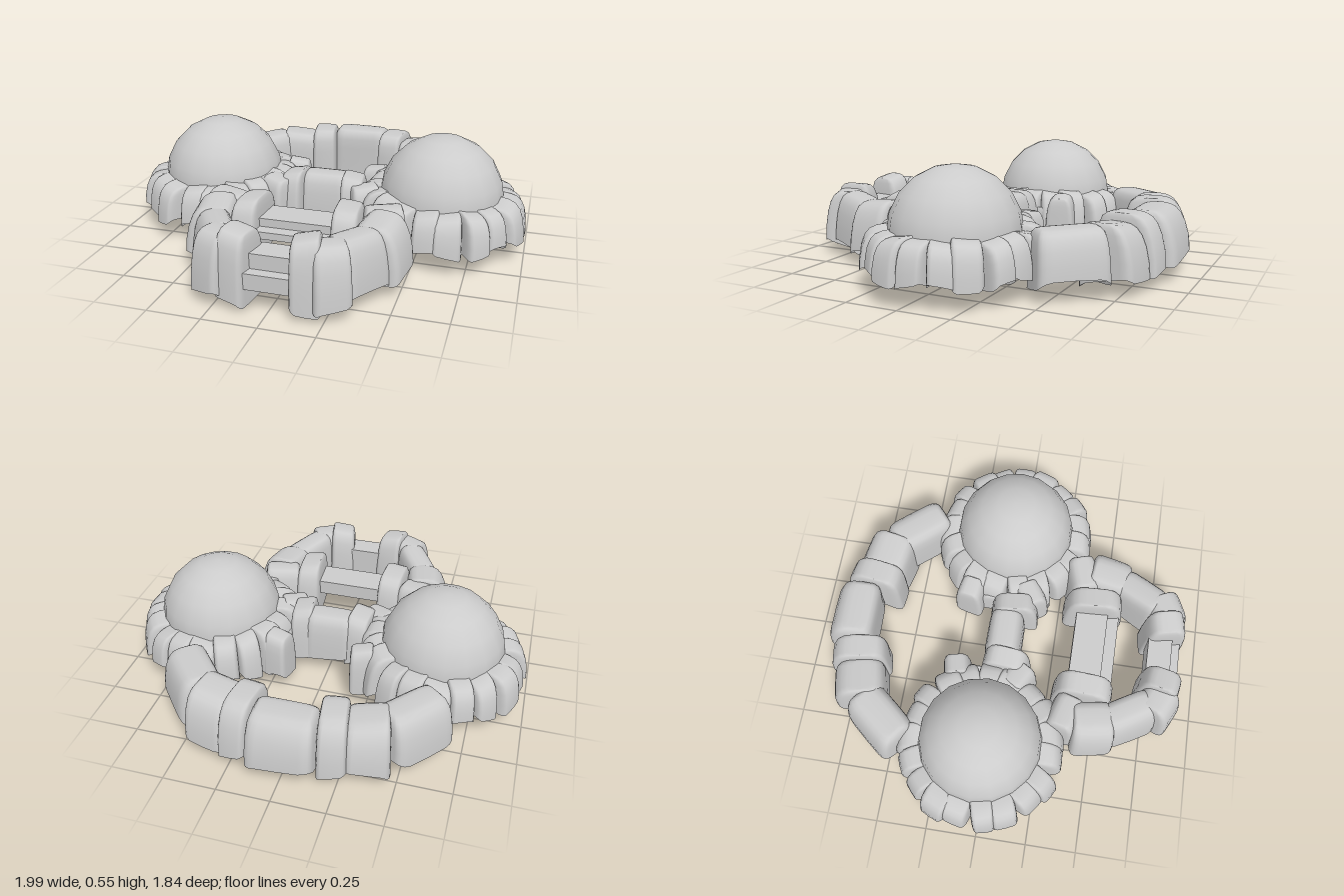
import * as THREE from 'three';

const stone = new THREE.MeshStandardMaterial({ color: 0xcccccc, side: THREE.DoubleSide });

// Boulder levels: height fraction, width scale, depth scale (closing to a ridge along the width)
const LEVELS = [[0, 1, 1], [0.3, 0.99, 0.98], [0.6, 0.97, 0.92], [0.8, 0.94, 0.83],
  [0.92, 0.89, 0.7], [0.98, 0.82, 0.52], [1, 0.76, 0.3], [1, 0.72, 0]];
const SIDES = 24;

// Open-bottomed boulder: lofted rounded rectangles with a ragged lower edge,
// the top shifted by lean along its depth and the outer lower edge raised
function rock(name, x, z, w, d, angle, y0, y1, lean, seed) {
  const pos = [], idx = [];
  LEVELS.forEach(([t, sx, sz]) => {
    for (let i = 0; i < SIDES; i++) {
      const a = (i / SIDES) * Math.PI * 2;
      const c = Math.cos(a), n = Math.sin(a);
      const px = Math.sign(c) * Math.abs(c) ** 0.35 * sx * w / 2;
      const pz = Math.sign(n) * Math.abs(n) ** 0.35 * sz * d / 2;
      const ragged = (1 - t) * (0.018 * Math.sin(2 * a + seed * 2.3) - Math.sign(lean) * 0.045 * pz / d);
      const tilt = t * 0.025 * Math.sin(seed * 1.7) * px / w;
      pos.push(px, y0 + (y1 - y0) * t + ragged + tilt, pz + lean * t * t);
    }
  });
  for (let l = 0; l < LEVELS.length - 1; l++) {
    for (let i = 0; i < SIDES; i++) {
      const a = l * SIDES + i, b = l * SIDES + (i + 1) % SIDES;
      idx.push(a, a + SIDES, b, b, a + SIDES, b + SIDES);
    }
  }
  const g = new THREE.BufferGeometry();
  g.setAttribute('position', new THREE.Float32BufferAttribute(pos, 3));
  g.setIndex(idx);
  g.computeVertexNormals();
  const m = new THREE.Mesh(g, stone);
  m.name = name;
  m.position.set(x, 0, z);
  m.rotation.y = angle;
  return m;
}

function box(name, x0, x1, y0, y1, z0, z1) {
  const m = new THREE.Mesh(new THREE.BoxGeometry(x1 - x0, y1 - y0, z1 - z0), stone);
  m.name = name;
  m.position.set((x0 + x1) / 2, (y0 + y1) / 2, (z0 + z1) / 2);
  return m;
}

export function createModel() {
  const model = new THREE.Group();
  model.name = 'rockGarden';

  // Boulders on the +x side, mirrored: x, z, width, depth, turn, bottom, top, lean
  const boulders = [
    ['backArchRock', 0.21, -0.73, 0.14, 0.30, -0.15, 0.04, 0.315, 0.03],
    ['backArchRock', 0.355, -0.70, 0.21, 0.27, -0.2, 0.04, 0.29, 0.03],
    ['backArchRock', 0.53, -0.555, 0.33, 0.23, -0.87, 0.05, 0.29, 0.02],
    ['centreRock', 0.15, 0.02, 0.12, 0.25, 0.1, 0.06, 0.31, 0],
    ['innerRock', 0.22, 0.09, 0.15, 0.17, 0.5, 0.06, 0.29, 0],
    ['innerRock', 0.21, -0.22, 0.12, 0.15, -0.2, 0.06, 0.28, 0],
    ['innerRock', 0.23, -0.1, 0.1, 0.16, 0, 0.06, 0.21, 0],
    ['stepRock', 0.23, 0.425, 0.13, 0.31, 0.06, 0.05, 0.32, 0],
    ['frontRingRock', 0.41, 0.49, 0.22, 0.23, 1.4, 0.04, 0.30, -0.03],
    ['frontRingRock', 0.375, 0.35, 0.20, 0.18, 0.3, 0.05, 0.30, 0],
    ['frontRingRock', 0.33, 0.66, 0.27, 0.19, 1.05, 0.03, 0.30, -0.02],
    ['frontRingRock', 0.25, 0.80, 0.17, 0.21, 0.45, 0.025, 0.31, -0.02],
    ['entranceRock', 0.15, 0.80, 0.14, 0.22, 0.2, 0.02, 0.33, 0],
  ];
  for (const side of [-1, 1]) {
    boulders.forEach(([name, x, z, w, d, a, y0, y1, lean], i) =>
      model.add(rock(name, side * x, z, w, d, side * a, y0, y1, lean, i * side)));

    // Dome and its collar of stones, which reach in beneath it
    const cx = side * 0.575 + 0.005, cz = -0.04;
    const dome = new THREE.Mesh(
      new THREE.SphereGeometry(0.305, 18, 5, 0, Math.PI * 2, 0, Math.PI / 2), stone);
    dome.name = 'dome';
    dome.position.set(cx, 0.23, cz);
    model.add(dome);
    const count = 19;
    for (let i = 0; i < count; i++) {
      const a = (i / count) * Math.PI * 2;
      const inward = Math.max(0, -Math.cos(a) * side);
      const r = 0.268 + 0.01 * Math.sin(i * 2.4);
      model.add(rock('collarStone', cx + Math.cos(a) * r, cz + Math.sin(a) * r,
        0.13 + 0.015 * Math.sin(i * 1.9), 0.3, Math.PI / 2 - a + 0.12 * Math.sin(i * 2.9),
        0.065 - 0.01 * inward, 0.26 + 0.03 * inward + 0.008 * Math.sin(i * 3.1), -0.005, i));
    }
  }

  // Single boulders on the centre line
  model.add(rock('backKeyRock', 0, -0.80, 0.32, 0.24, 0, 0.06, 0.31, 0.04, 0));
  model.add(rock('centreBridgeRock', 0, -0.01, 0.25, 0.19, 0, 0.07, 0.305, 0, 0));

  // Two pairs of treads through the entrance
  model.add(box('lowerLedge', -0.13, 0.13, 0.09, 0.165, 0.84, 0.89));
  model.add(box('lowerStep', -0.13, 0.13, 0.09, 0.235, 0.72, 0.84));
  model.add(box('upperLedge', -0.2, 0.2, 0.165, 0.2, 0.5, 0.56));
  model.add(box('upperStep', -0.2, 0.2, 0.165, 0.24, 0.34, 0.5));
  return model;
}
